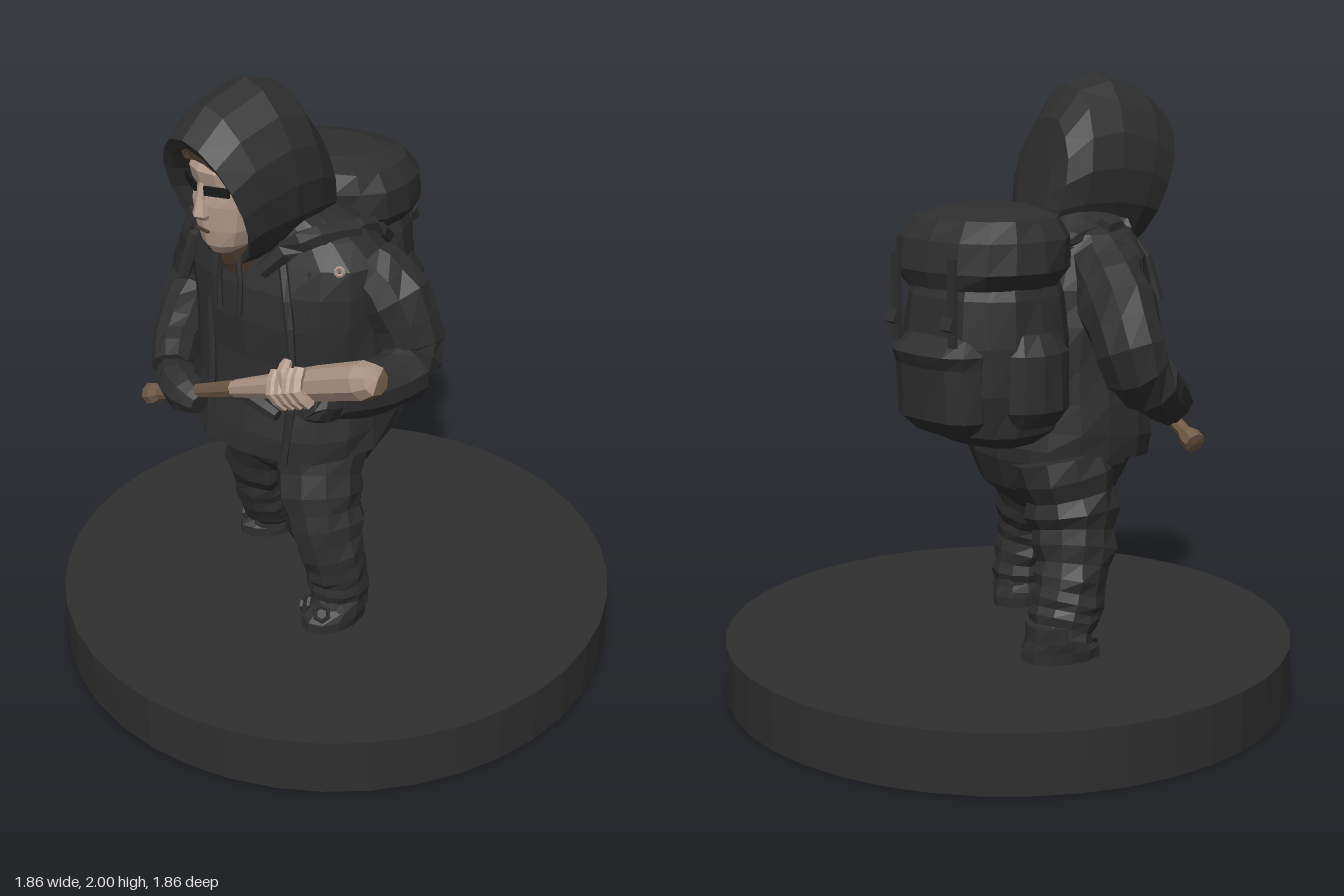
import * as THREE from 'three';

const mat = (name, color) => {
  const m = new THREE.MeshStandardMaterial({ color, flatShading: true });
  m.name = name;
  return m;
};
const V = (x, y, z) => new THREE.Vector3(x, y, z);

// Small seeded noise source for cloth creases
let seed = 7;
const rand = () => {
  seed = (seed * 16807) % 2147483647;
  return seed / 2147483647 - 0.5;
};

// Skin a list of rings { c, u, v } (centre and two radius vectors), capped at both ends
function loft(rings, sides = 12, crease = 0, power = 1) {
  const pos = [], index = [], n = rings.length;
  const round = t => Math.sign(t) * Math.abs(t) ** power;
  for (const { c, u, v } of rings) {
    for (let i = 0; i < sides; i++) {
      const t = (i / sides) * Math.PI * 2, k = 1 + crease * rand();
      const p = c.clone().addScaledVector(u, round(Math.cos(t)) * k).addScaledVector(v, round(Math.sin(t)) * k);
      pos.push(p.x, p.y, p.z);
    }
  }
  pos.push(...rings[0].c.toArray(), ...rings[n - 1].c.toArray());
  const first = n * sides, last = first + 1;
  for (let i = 0; i < sides; i++) {
    const j = (i + 1) % sides, top = (n - 1) * sides;
    for (let r = 0; r < n - 1; r++) {
      const a = r * sides + i, b = r * sides + j;
      index.push(a, b, b + sides, a, b + sides, a + sides);
    }
    index.push(first, j, i, last, top + i, top + j);
  }
  const g = new THREE.BufferGeometry();
  g.setAttribute('position', new THREE.Float32BufferAttribute(pos, 3));
  g.setIndex(index);
  const flat = g.toNonIndexed();
  flat.computeVertexNormals();
  return flat;
}

// Level cross-sections from bottom to top: [y, x, z, halfWidth, halfDepth, lean]
function stack(rows, yaw = 0, sides, crease, power) {
  const s = Math.sin(yaw), c = Math.cos(yaw);
  return loft(rows.map(([y, x, z, rx, rz, lean = 0]) => ({
    c: V(x, y, z), u: V(s * rz, lean, c * rz), v: V(c * rx, 0, -s * rx),
  })), sides, crease, power);
}

// Round limb along a smooth path of [x, y, z, radius]
function limb(path, steps = 8, sides = 9, crease = 0.1, fold = 0) {
  const curve = new THREE.CatmullRomCurve3(path.map(p => V(p[0], p[1], p[2])));
  const rings = [];
  for (let i = 0; i <= steps; i++) {
    const t = i / steps, f = t * (path.length - 1), k = Math.min(Math.floor(f), path.length - 2);
    const r = THREE.MathUtils.lerp(path[k][3], path[k + 1][3], f - k) * (1 + (i % 2 ? fold : -fold));
    const d = curve.getTangent(t);
    const u = (Math.abs(d.z) > 0.8 ? V(1, 0, 0) : V(0, 0, 1)).cross(d).normalize();
    const v = d.clone().cross(u);
    rings.push({ c: curve.getPoint(t), u: u.multiplyScalar(r), v: v.multiplyScalar(r) });
  }
  return loft(rings, sides, crease);
}

export function createModel() {
  const model = new THREE.Group();
  const cloth = mat('charcoal cloth', 0x2e2e2f);
  const stone = mat('base grey', 0x2e2e2e);
  const skin = mat('skin', 0xb59d8e);
  const paleWood = mat('pale wood', 0xae9687);
  const wood = mat('brown wood', 0x6f5a45);
  const hair = mat('brown hair', 0x4b3b2d);
  const black = mat('black', 0x191919);
  const add = (name, geometry, material = cloth, parent = model) => {
    const mesh = new THREE.Mesh(geometry, material);
    mesh.name = name;
    parent.add(mesh);
    return mesh;
  };
  const box = (name, w, h, d, x, y, z, material, parent) => {
    const m = add(name, new THREE.BoxGeometry(w, h, d), material, parent);
    m.position.set(x, y, z);
    return m;
  };
  const yaw = 0.2;

  // Round base
  add('base', new THREE.CylinderGeometry(0.93, 0.93, 0.19, 40), stone).position.y = 0.095;

  // Trousers and boots
  add('hips', stack([[0.63, -0.08, 0.1, 0.1, 0.12], [0.7, -0.08, 0.1, 0.26, 0.18],
    [0.8, -0.08, 0.1, 0.31, 0.22], [0.92, -0.08, 0.1, 0.32, 0.23]], yaw, 14, 0.05));
  add('rightLeg', limb([[-0.24, 0.82, 0.05, 0.165], [-0.27, 0.62, 0.08, 0.145], [-0.31, 0.45, 0.05, 0.115],
    [-0.32, 0.34, 0.02, 0.115], [-0.335, 0.25, -0.01, 0.1]], 13, 11, 0.12, 0.035));
  add('leftLeg', limb([[0.07, 0.82, 0.13, 0.165], [0.14, 0.62, 0.19, 0.135], [0.19, 0.47, 0.2, 0.108],
    [0.205, 0.35, 0.18, 0.1], [0.21, 0.25, 0.18, 0.095]], 13, 11, 0.12, 0.035));
  for (const [name, x, z, turn] of [['rightBoot', -0.34, -0.01, -0.15], ['leftBoot', 0.21, 0.2, 0.12]]) {
    add(name, stack([[0.185, x, z, 0.085, 0.13], [0.225, x, z, 0.09, 0.13],
      [0.26, x, z - 0.02, 0.088, 0.1], [0.31, x, z - 0.03, 0.085, 0.085]], turn, 12, 0.06));
    for (const side of [-1, 1]) {
      const lace = add('bootLace', new THREE.TorusGeometry(0.025, 0.008, 4, 6));
      lace.position.set(x + side * 0.04, 0.26, z + 0.09);
      lace.rotation.set(-0.6, side * 0.4, 0);
    }
  }

  // Jacket with a hem that rises towards the back
  add('jacket', stack([[0.83, -0.08, 0.1, 0.35, 0.285, -0.04], [0.9, -0.08, 0.1, 0.355, 0.28, -0.03],
    [1.0, -0.08, 0.09, 0.35, 0.265, -0.02], [1.12, -0.08, 0.09, 0.345, 0.265], [1.25, -0.08, 0.1, 0.345, 0.26],
    [1.36, -0.08, 0.11, 0.36, 0.235], [1.45, -0.08, 0.12, 0.345, 0.2], [1.52, -0.08, 0.13, 0.28, 0.17],
    [1.58, -0.08, 0.16, 0.17, 0.14]], yaw, 18, 0.05, 0.88));
  const lapels = [[[-0.16, 1.5, 0.3], [-0.19, 1.3, 0.35], [-0.18, 1.05, 0.365], [-0.18, 0.79, 0.39]],
    [[0.06, 1.5, 0.28], [0.13, 1.3, 0.31], [0.15, 1.05, 0.32], [0.13, 0.8, 0.345]]];
  lapels.forEach(p => add('lapel', limb(p.map(q => [...q, 0.016]), 8, 5, 0.3)));
  add('sweaterPocket', limb([[-0.14, 0.97, 0.35, 0.02], [-0.02, 0.99, 0.355, 0.03], [0.1, 0.96, 0.335, 0.02]], 5, 6));
  for (const side of [-1, 1]) {
    add('collar', limb([[-0.08 + side * 0.24, 1.53, 0.1 - side * 0.04, 0.035],
      [-0.08 + side * 0.19, 1.53, 0.25, 0.035], [-0.08 + side * 0.11, 1.43, 0.33, 0.025]], 6, 6));
    add('drawstring', limb([[-0.08 + side * 0.035, 1.47, 0.36, 0.009], [-0.08 + side * 0.05, 1.38, 0.365, 0.009],
      [-0.08 + side * 0.045, 1.27, 0.37, 0.01]], 5, 5));
  }
  const badge = add('shoulderButton', new THREE.TorusGeometry(0.012, 0.006, 4, 8), paleWood);
  badge.position.set(0.235, 1.46, 0.2);
  badge.rotation.set(-0.5, 0.7, 0);

  // Arms and hands
  add('rightArm', limb([[-0.33, 1.43, 0.13, 0.11], [-0.46, 1.32, 0.11, 0.12], [-0.545, 1.13, 0.13, 0.105],
    [-0.46, 1.03, 0.28, 0.085], [-0.35, 0.97, 0.4, 0.068]], 12, 10, 0.12, 0.025));
  add('rightHand', limb([[-0.38, 0.97, 0.37, 0.05], [-0.3, 0.95, 0.42, 0.068], [-0.22, 0.94, 0.44, 0.062],
    [-0.16, 0.93, 0.44, 0.035]], 6, 8, 0.12));
  add('leftArm', limb([[0.18, 1.42, 0.05, 0.105], [0.28, 1.33, 0.01, 0.115], [0.35, 1.14, 0.0, 0.1],
    [0.375, 1.12, 0.18, 0.082], [0.375, 1.15, 0.36, 0.065]], 12, 10, 0.12, 0.025));
  add('leftHand', limb([[0.375, 1.14, 0.33, 0.055], [0.375, 1.16, 0.41, 0.07], [0.36, 1.19, 0.46, 0.055]], 5, 8, 0.1));
  for (let i = 0; i < 4; i++) {
    const x = 0.28 + i * 0.035, y = 1.185 + i * 0.017;
    add('leftFinger', limb([[x + 0.02, y - 0.05, 0.47, 0.02], [x, y, 0.505, 0.021], [x - 0.02, y + 0.055, 0.47, 0.018]], 4, 6), skin);
  }
  add('leftThumb', limb([[0.33, 1.21, 0.49, 0.022], [0.31, 1.26, 0.485, 0.022], [0.3, 1.285, 0.46, 0.014]], 4, 6), skin);

  // Bat: brown handle, barrel pale above and brown beneath
  const bat = new THREE.Group();
  bat.name = 'bat';
  bat.position.set(-0.44, 0.845, 0.43);
  bat.rotation.z = -1.133;
  model.add(bat);
  const profile = rows => rows.map(p => new THREE.Vector2(p[0], p[1]));
  const barrel = profile([[0.028, 0.5], [0.04, 0.72], [0.053, 0.92], [0.058, 1.14], [0.045, 1.19], [0, 1.2]]);
  add('batHandle', new THREE.LatheGeometry(profile([[0, 0], [0.036, 0.005], [0.036, 0.04], [0.023, 0.07],
    [0.023, 0.3], [0.028, 0.5]]), 8), wood, bat);
  add('batBarrelTop', new THREE.LatheGeometry(barrel, 5, 3.67, 3.6), paleWood, bat);
  add('batBarrelUnderside', new THREE.LatheGeometry(barrel, 4, 0.987, 2.683), wood, bat);

  // Hood: rings from inside the opening, over the rim, to the back [topY, topZ, bottomY, bottomZ, halfWidth]
  const hood = [[1.8, 0.4, 1.5, 0.27, 0.12], [1.835, 0.5, 1.465, 0.35, 0.15], [1.87, 0.52, 1.435, 0.36, 0.172],
    [1.95, 0.43, 1.43, 0.31, 0.19], [2.0, 0.28, 1.43, 0.22, 0.196], [1.97, 0.17, 1.44, 0.11, 0.185],
    [1.87, 0.1, 1.46, 0.03, 0.155], [1.75, 0.07, 1.52, 0.01, 0.09]];
  add('hood', loft(hood.map(([ty, tz, by, bz, w]) => ({
    c: V(-0.085, (ty + by) / 2, (tz + bz) / 2), u: V(0, (ty - by) / 2, (tz - bz) / 2), v: V(w, 0, 0),
  })), 16, 0.03));

  // Face
  add('face', stack([[1.485, -0.085, 0.35, 0.045, 0.07], [1.515, -0.085, 0.35, 0.075, 0.09],
    [1.57, -0.085, 0.345, 0.1, 0.11], [1.65, -0.085, 0.345, 0.115, 0.115], [1.7, -0.085, 0.345, 0.12, 0.108],
    [1.76, -0.085, 0.355, 0.115, 0.115], [1.81, -0.085, 0.35, 0.09, 0.1]], 0, 12, 0.04), skin);
  add('nose', stack([[1.605, -0.085, 0.45, 0.024, 0.02], [1.62, -0.085, 0.458, 0.03, 0.03],
    [1.67, -0.085, 0.455, 0.016, 0.02], [1.72, -0.085, 0.45, 0.012, 0.012]], 0, 6), skin);
  add('neck', limb([[-0.085, 1.42, 0.31, 0.06], [-0.085, 1.51, 0.34, 0.065]], 2, 8), hair);
  add('hair', limb([[-0.18, 1.74, 0.4, 0.014], [-0.15, 1.795, 0.45, 0.02], [-0.085, 1.81, 0.465, 0.024],
    [-0.02, 1.795, 0.45, 0.02], [0.01, 1.74, 0.4, 0.014]], 8, 6, 0.4), hair);
  box('mouth', 0.055, 0.007, 0.008, -0.085, 1.57, 0.458, hair);
  for (const side of [-1, 1]) {
    const eye = box('eyeShadow', 0.085, 0.028, 0.009, -0.085 + side * 0.06, 1.705, 0.447, black);
    eye.rotation.set(0, side * 0.35, side * 0.08);
  }

  // Backpack
  const pack = new THREE.Group();
  pack.name = 'backpack';
  pack.position.set(-0.24, 0, -0.23);
  pack.rotation.y = 0.25;
  model.add(pack);
  add('packBody', stack([[0.9, 0, 0.02, 0.15, 0.1], [0.95, 0, 0, 0.23, 0.18], [1.08, 0, 0, 0.255, 0.21],
    [1.22, 0, 0, 0.255, 0.215], [1.36, 0, 0, 0.24, 0.2], [1.45, 0, 0.01, 0.21, 0.18]], 0, 16, 0.07, 0.8), cloth, pack);
  add('packLid', stack([[1.39, 0, -0.01, 0.23, 0.21], [1.44, 0, -0.01, 0.265, 0.23], [1.53, 0, 0, 0.26, 0.225],
    [1.59, 0, 0.01, 0.22, 0.19], [1.62, 0, 0.02, 0.13, 0.11]], 0, 16, 0.06, 0.85), cloth, pack);
  add('packPocket', stack([[0.95, 0, -0.15, 0.12, 0.05], [1.0, 0, -0.17, 0.165, 0.085], [1.16, 0, -0.18, 0.165, 0.085],
    [1.2, 0, -0.18, 0.175, 0.1], [1.25, 0, -0.16, 0.14, 0.06]], 0, 12, 0.08, 0.8), cloth, pack);
  for (const side of [-1, 1]) {
    add('sidePocket', stack([[0.98, side * 0.21, 0, 0.05, 0.09], [1.03, side * 0.225, 0, 0.07, 0.12],
      [1.2, side * 0.225, 0, 0.07, 0.12], [1.26, side * 0.21, 0, 0.05, 0.09]], 0, 10, 0.1), cloth, pack);
    box('lidStrap', 0.03, 0.26, 0.012, side * 0.12, 1.36, -0.245, cloth, pack);
    box('buckle', 0.045, 0.04, 0.025, side * 0.12, 1.3, -0.26, cloth, pack).rotation.x = 0.4;
    // Shoulder straps over the jacket
    const x = -0.08 + side * 0.22;
    add('shoulderStrap', limb([[x - 0.06, 1.42, -0.1 - side * 0.04, 0.025], [x, 1.525, 0.05 - side * 0.04, 0.028],
      [x, 1.47, 0.25 - side * 0.04, 0.025], [x + side * 0.03, 1.3, 0.3 - side * 0.05, 0.02]], 8, 6));
  }
  return model;
}
